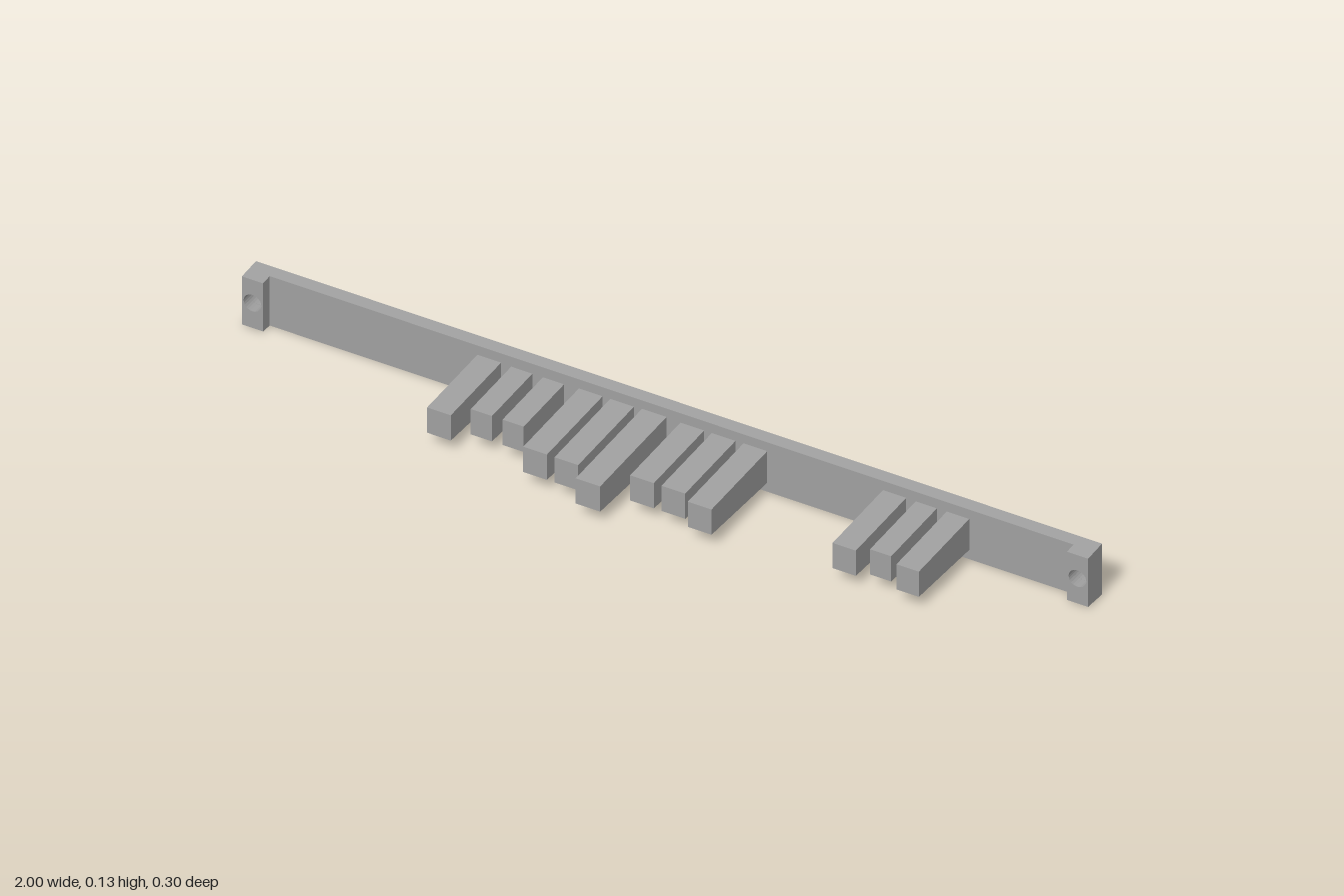
import * as THREE from 'three';

const MID_Y = 0.0635;
const BACK_Z = -0.15;
const PLATE_Z = -0.12;

const grey = new THREE.MeshStandardMaterial({ color: 0xa0a0a0 });
grey.name = 'grey plastic';

// Block from z0 to z1 whose top and bottom lean inwards towards the front (draft),
// with round holes running through it along z.
function draftedBlock(name, x0, x1, halfHeight, z0, z1, draft, holeXs = []) {
  const shape = new THREE.Shape();
  shape.moveTo(x0, -halfHeight);
  shape.lineTo(x1, -halfHeight);
  shape.lineTo(x1, halfHeight);
  shape.lineTo(x0, halfHeight);
  shape.closePath();
  for (const x of holeXs) {
    shape.holes.push(new THREE.Path().absarc(x, 0.002, 0.021, 0, Math.PI * 2, true));
  }
  const geo = new THREE.ExtrudeGeometry(shape, { depth: z1 - z0, bevelEnabled: false, curveSegments: 12 });
  const p = geo.attributes.position;
  for (let i = 0; i < p.count; i++) {
    p.setY(i, p.getY(i) * (1 - (draft * p.getZ(i)) / halfHeight));
  }
  geo.translate(0, MID_Y, z0);
  geo.computeVertexNormals();
  const mesh = new THREE.Mesh(geo, grey);
  mesh.name = name;
  return mesh;
}

export function createModel() {
  const model = new THREE.Group();
  model.name = 'buttonStrip';

  // Long backing plate with a screw hole at each end
  const plateDraft = 0.06;
  const plateHalf = 0.0635;
  model.add(draftedBlock('backPlate', -1, 1, plateHalf, BACK_Z, PLATE_Z, plateDraft, [-0.975, 0.975]));

  // Raised mounting pads around the holes
  const padHalf = plateHalf - plateDraft * (PLATE_Z - BACK_Z);
  for (const side of [-1, 1]) {
    const c = side * 0.975;
    model.add(draftedBlock(side > 0 ? 'leftPad' : 'rightPad',
      c - 0.025, c + 0.025, padHalf, PLATE_Z, -0.093, plateDraft, [c]));
  }

  // Fingers: [centre x, width, front z]; all tips share one height
  const fingers = [
    [-0.431, 0.056, 0.085], [-0.354, 0.05, 0.045], [-0.279, 0.05, 0.045],
    [-0.191, 0.056, 0.107], [-0.117, 0.056, 0.107], [-0.041, 0.058, 0.15],
    [0.049, 0.056, 0.085], [0.123, 0.056, 0.085], [0.198, 0.056, 0.107],
    [0.527, 0.055, 0.085], [0.602, 0.05, 0.066], [0.677, 0.053, 0.085],
  ];
  const draft = 0.035;
  const group = new THREE.Group();
  group.name = 'fingers';
  for (const [x, w, z] of fingers) {
    const baseHalf = 0.0315 + draft * (z - PLATE_Z);
    group.add(draftedBlock('finger', x - w / 2, x + w / 2, baseHalf, PLATE_Z, z, draft));
  }
  model.add(group);
  return model;
}
